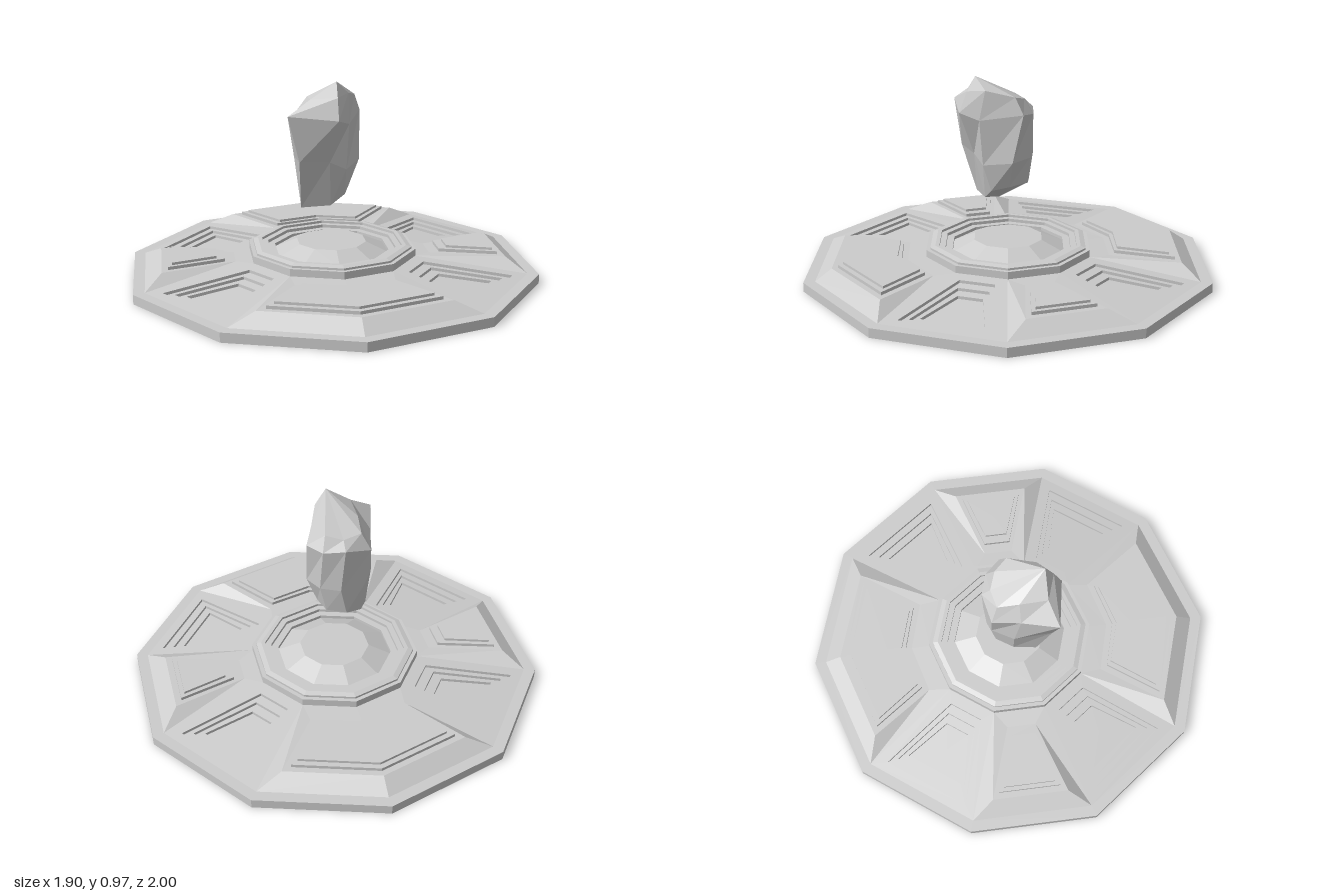
import * as THREE from 'three';

const material = new THREE.MeshStandardMaterial({ color: 0xcccccc, flatShading: true, side: THREE.DoubleSide });

// Joins loops of points (counter-clockwise from above) and closes the last one to a point.
function skinLoops(loops, tip, foot) {
  const pos = [];
  const tri = (a, b, c) => pos.push(...a, ...b, ...c);
  const n = loops[0].length;
  for (let k = 0; k + 1 < loops.length; k++) {
    const a = loops[k], b = loops[k + 1];
    for (let i = 0; i < n; i++) {
      const j = (i + 1) % n;
      tri(a[i], a[j], b[j]);
      tri(a[i], b[j], b[i]);
    }
  }
  const last = loops[loops.length - 1];
  const end = tip ?? [0, 1, 2].map((c) => last.reduce((s, p) => s + p[c] / n, 0));
  for (let i = 0; i < n; i++) {
    const j = (i + 1) % n;
    tri(last[i], last[j], end);
    if (foot) tri(loops[0][j], loops[0][i], foot);
  }
  const g = new THREE.BufferGeometry();
  g.setAttribute('position', new THREE.Float32BufferAttribute(pos, 3));
  g.computeVertexNormals();
  return g;
}

function addMesh(parent, name, geometry, turn = 0) {
  const mesh = new THREE.Mesh(geometry, material);
  mesh.name = name;
  mesh.rotation.y = turn;
  parent.add(mesh);
}

// Ten-sided stepped ring from [radius, height] pairs
function decagonRing(profile) {
  return new THREE.LatheGeometry(profile.map(([r, y]) => new THREE.Vector2(r, y)), 10);
}

const RIM = 0.945, HUB = 0.41, C18 = Math.cos(Math.PI / 10), S18 = Math.sin(Math.PI / 10);
const slope = (u) => 0.105 - 0.06 * (u - HUB * C18) / ((RIM - HUB) * C18);

// Trapezoid loop in a sector that faces +z; height is a function of the outward distance
function trapezoid(outer, outerHalf, inner, innerHalf, height) {
  return [[-outerHalf, outer], [outerHalf, outer], [innerHalf, inner], [-innerHalf, inner]]
    .map(([x, z]) => [x, height(z), z]);
}

const sector = () => trapezoid(RIM * C18, RIM * S18, HUB * C18, HUB * S18, slope);

// Sunken panel that steps down along the slope
function sunkenPanel() {
  const outlines = [[0.85, 0.22, 0.45, 0.085], [0.81, 0.185, 0.495, 0.075], [0.77, 0.15, 0.54, 0.06]];
  const loops = [sector()];
  outlines.forEach((o, i) => {
    loops.push(trapezoid(...o, (u) => slope(u) - 0.014 * i));
    loops.push(trapezoid(...o, (u) => slope(u) - 0.014 * (i + 1)));
  });
  return skinLoops(loops);
}

// Raised panel over one side of the decagon, with level steps
function raisedPanel() {
  const outlines = [[0.82, 0.185, 0.47, 0.07], [0.79, 0.15, 0.52, 0.065], [0.77, 0.125, 0.56, 0.055]];
  const levels = [0.1, 0.115, 0.127];
  const loops = [sector()];
  outlines.forEach((o, i) => {
    if (i) loops.push(trapezoid(...o, () => levels[i - 1]));
    loops.push(trapezoid(...o, () => levels[i]));
  });
  return skinLoops(loops);
}

// Raised panel over two sides, bent at the middle corner
function widePanel() {
  const bent = (ox, oz, om, ix, iz, im, y) =>
    [[-ox, y, oz], [0, y, om], [ox, y, oz], [ix, y, iz], [0, y, im], [-ix, y, iz]];
  const s36 = Math.sin(Math.PI / 5), c36 = Math.cos(Math.PI / 5);
  const base = bent(RIM * s36, RIM * c36, RIM, HUB * s36, HUB * c36, HUB, 0);
  base.forEach((p, i) => { p[1] = i < 3 ? 0.045 : 0.105; });
  const outlines = [[0.43, 0.725, 0.865, 0.23, 0.435, 0.5], [0.385, 0.71, 0.835, 0.215, 0.47, 0.53],
    [0.35, 0.695, 0.81, 0.2, 0.49, 0.55]];
  const levels = [0.1, 0.115, 0.127];
  const loops = [base];
  outlines.forEach((o, i) => {
    if (i) loops.push(bent(...o, levels[i - 1]));
    loops.push(bent(...o, levels[i]));
  });
  return skinLoops(loops);
}

// Irregular floating rock built from eight-sided rings
function rockGeometry() {
  const rings = [
    [[-0.02, 0.37, 0.11], [0.05, 0.42, 0.1], [0.08, 0.44, 0.02], [0.06, 0.45, -0.08],
      [-0.03, 0.44, -0.115], [-0.11, 0.42, -0.08], [-0.155, 0.4, 0], [-0.16, 0.365, 0.11]],
    [[-0.03, 0.59, 0.16], [0.05, 0.55, 0.14], [0.13, 0.57, 0.02], [0.09, 0.58, -0.08],
      [0, 0.58, -0.125], [-0.12, 0.58, -0.1], [-0.18, 0.59, 0], [-0.175, 0.6, 0.18]],
    [[0, 0.8, 0.24], [0.06, 0.77, 0.16], [0.14, 0.8, -0.03], [0.08, 0.79, -0.1],
      [-0.02, 0.8, -0.13], [-0.15, 0.77, -0.1], [-0.18, 0.8, 0.03], [-0.23, 0.82, 0.2]],
    [[0, 0.9, 0.2], [0.06, 0.91, 0.13], [0.11, 0.88, 0], [0.06, 0.86, -0.06],
      [-0.02, 0.84, -0.09], [-0.11, 0.85, -0.07], [-0.12, 0.88, 0.03], [-0.12, 0.89, 0.16]],
  ];
  return skinLoops(rings, [0, 0.97, 0.16], [-0.08, 0.345, 0.02]);
}

export function createModel() {
  const model = new THREE.Group();
  model.name = 'pedestalWithFloatingRock';

  const base = new THREE.Group();
  base.name = 'base';
  model.add(base);
  addMesh(base, 'rim', decagonRing([[1, 0], [1, 0.045], [RIM, 0.045]]));

  // Panels around the plate
  const deg = Math.PI / 180;
  for (const turn of [0, 180]) {
    addMesh(base, 'widePanel', widePanel(), turn * deg);
    addMesh(base, 'sidePanel', raisedPanel(), (turn + 90) * deg);
    for (const offset of [54, -54]) addMesh(base, 'sunkenPanel', sunkenPanel(), (turn + offset) * deg);
  }

  // Stepped ring and shallow dome in the middle
  addMesh(base, 'centreRing', decagonRing([
    [HUB, 0.105], [HUB, 0.14], [0.39, 0.14], [0.39, 0.15], [0.365, 0.157],
    [0.345, 0.157], [0.345, 0.145], [0.315, 0.145], [0.315, 0.13], [0.28, 0.13], [0.28, 0.115],
  ]));
  addMesh(base, 'centreDome', decagonRing([[0.28, 0.115], [0.17, 0.165], [0, 0.165]]));

  addMesh(model, 'rock', rockGeometry());
  return model;
}
